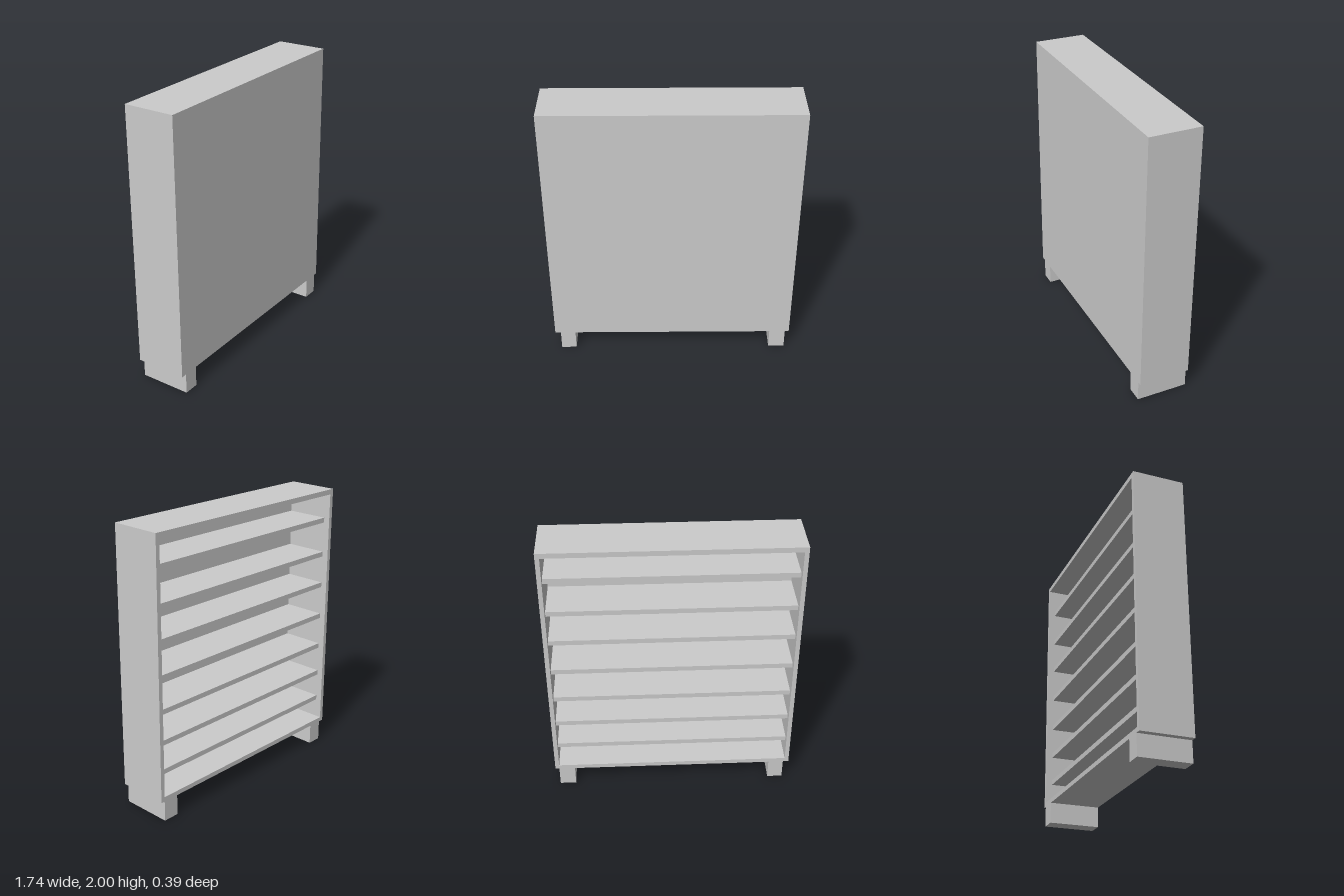
import * as THREE from 'three';

export function createModel() {
  const model = new THREE.Group();
  model.name = 'shelfUnit';
  const material = new THREE.MeshStandardMaterial({ color: 0xcccccc, flatShading: true });

  // Adds a board given its [min, max] extent on each axis
  const board = (name, [x0, x1], [y0, y1], [z0, z1]) => {
    const mesh = new THREE.Mesh(new THREE.BoxGeometry(x1 - x0, y1 - y0, z1 - z0), material);
    mesh.position.set((x0 + x1) / 2, (y0 + y1) / 2, (z0 + z1) / 2);
    mesh.name = name;
    model.add(mesh);
  };

  const halfWidth = 0.871, halfDepth = 0.184;
  const base = 0.148, top = 1.996;
  const side = 0.03, thickness = 0.036, panel = 0.012;
  const inner = [-halfWidth + side, halfWidth - side];
  const panelBack = halfDepth - panel;
  const caseDepth = [-halfDepth, panelBack];

  // Closed front panel and the open-backed case behind it
  board('frontPanel', [-halfWidth, halfWidth], [base, top], [panelBack, halfDepth]);
  board('leftSide', [inner[1], halfWidth], [base, top], caseDepth);
  board('rightSide', [-halfWidth, inner[0]], [base, top], caseDepth);
  board('topBoard', inner, [top - thickness, top], caseDepth);
  board('bottomBoard', inner, [base, base + 0.033], caseDepth);

  // Shelves, set in from the open side; spacing shrinks towards the bottom
  [0.215, 0.472, 0.71, 0.957, 1.2, 1.425, 1.638].forEach((drop, i) => {
    board(`shelf${i + 1}`, inner, [top - drop - thickness, top - drop], [-halfDepth + 0.045, panelBack]);
  });

  // Full-depth feet
  board('leftFoot', [0.726, 0.842], [0, base], [-halfDepth, halfDepth]);
  board('rightFoot', [-0.83, -0.721], [0, base], [-halfDepth, halfDepth]);

  // The whole unit leans slightly backwards
  model.rotation.x = -0.0103;
  model.position.set(0, 0.0019, 0.0103);

  const group = new THREE.Group();
  group.name = 'leaningShelfUnit';
  group.add(model);
  return group;
}
